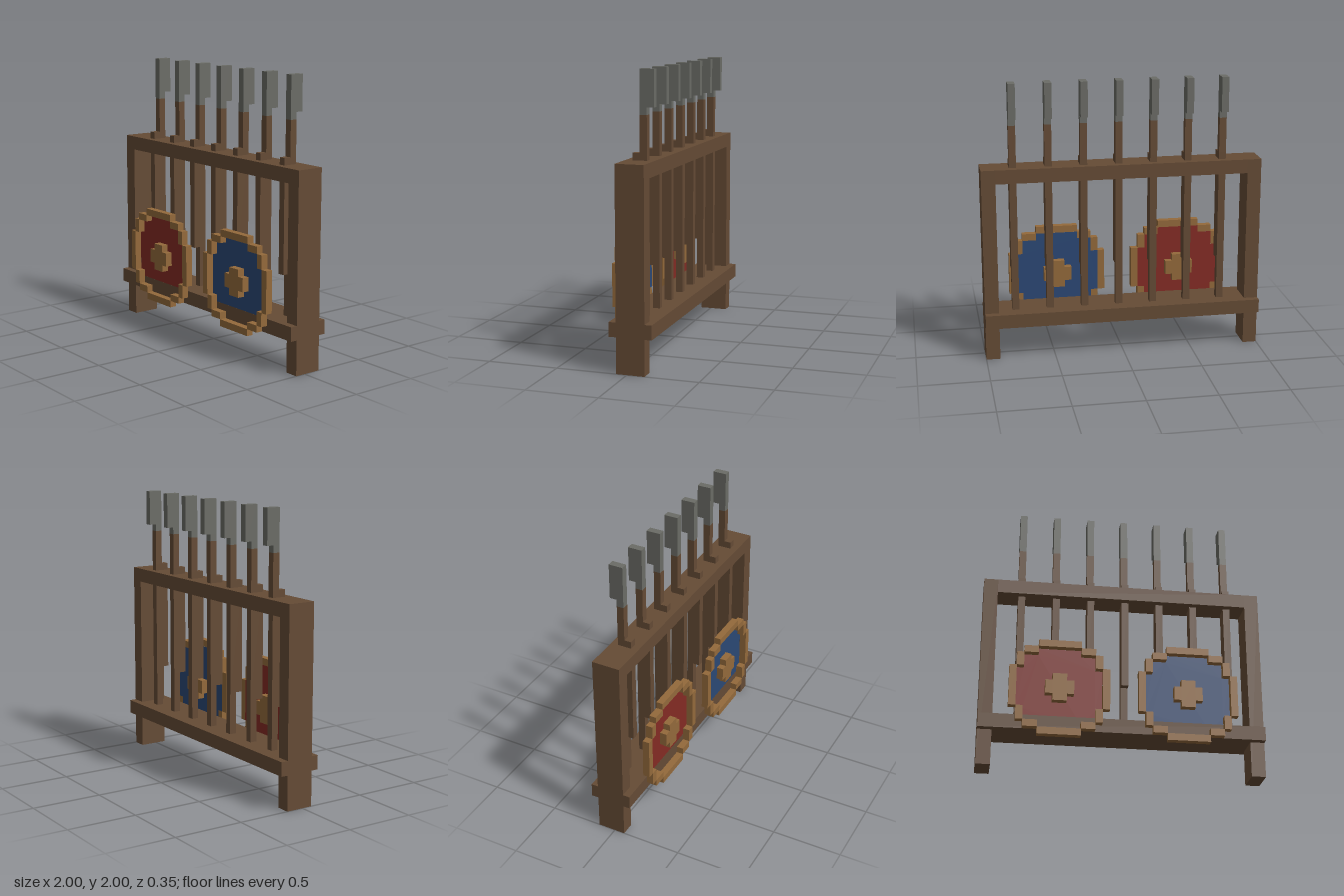
import * as THREE from 'three';

const mat = (name, color) => {
  const m = new THREE.MeshStandardMaterial({ color });
  m.name = name;
  return m;
};

export function createModel() {
  const wood = mat('dark wood', 0x654b35);
  const trim = mat('light wood', 0x946a3b);
  const steel = mat('grey steel', 0x6b6c66);
  const red = mat('red paint', 0x842b24);
  const blue = mat('blue paint', 0x2b4875);
  red.side = blue.side = THREE.DoubleSide;

  const root = new THREE.Group();
  root.name = 'weaponRack';

  // Box given by its min and max on each axis
  const box = (parent, name, material, [x0, x1], [y0, y1], [z0, z1]) => {
    const mesh = new THREE.Mesh(new THREE.BoxGeometry(x1 - x0, y1 - y0, z1 - z0), material);
    mesh.position.set((x0 + x1) / 2, (y0 + y1) / 2, (z0 + z1) / 2);
    mesh.name = name;
    parent.add(mesh);
  };
  const group = (name, x, y) => {
    const g = new THREE.Group();
    g.name = name;
    g.position.set(x, y, 0);
    root.add(g);
    return g;
  };

  // Frame: two posts, top rail and a wider shelf
  const depth = [-0.125, 0.075];
  box(root, 'rightPost', wood, [-1, -0.9], [0, 1.4], depth);
  box(root, 'leftPost', wood, [0.9, 1], [0, 1.4], depth);
  box(root, 'topRail', wood, [-0.9, 0.9], [1.3, 1.4], depth);
  box(root, 'shelf', wood, [-1, 1], [0.25, 0.35], [-0.175, 0.125]);

  // Row of seven pole weapons
  const w = [0, 0.05];
  const thin = [-0.075, -0.025];
  for (let i = 0; i < 7; i++) {
    const g = group('poleWeapon', -0.75 + i * 0.25, 0);
    box(g, 'lowerShaft', wood, w, [0.35, 0.65], thin);
    box(g, 'grip', wood, w, [0.65, 1.45], [-0.075, 0.025]);
    box(g, 'upperShaft', wood, w, [1.45, 1.7], thin);
    box(g, 'bladeNeck', steel, w, [1.7, 1.75], thin);
    box(g, 'blade', steel, w, [1.75, 2], [-0.125, -0.025]);
  }

  // Stepped round shield, centred on its boss
  const shield = (name, x, paint) => {
    const g = group(name, x, 0.55);
    const rimZ = [0.125, 0.175];
    const span = (s, a, b) => (s > 0 ? [a, b] : [-b, -a]);

    // Rim blocks, mirrored to all sides
    for (const s of [-1, 1]) {
      box(g, 'rimEnd', trim, [-0.15, 0.15], span(s, 0.3, 0.35), rimZ);
      box(g, 'rimSide', trim, span(s, 0.3, 0.35), [-0.15, 0.15], rimZ);
      for (const t of [-1, 1]) {
        box(g, 'rimCornerFlat', trim, span(s, 0.15, 0.25), span(t, 0.25, 0.3), rimZ);
        box(g, 'rimCornerUpright', trim, span(s, 0.25, 0.3), span(t, 0.15, 0.25), rimZ);
      }
    }

    // Painted face, a flat stepped outline
    const quarter = [[0.3, 0.15], [0.25, 0.15], [0.25, 0.25], [0.15, 0.25], [0.15, 0.3]];
    const flip = quarter.slice().reverse();
    const outline = [
      ...quarter,
      ...flip.map(([a, b]) => [-a, b]),
      ...quarter.map(([a, b]) => [-a, -b]),
      ...flip.map(([a, b]) => [a, -b]),
    ].map(([a, b]) => new THREE.Vector2(a, b));
    const face = new THREE.Mesh(new THREE.ShapeGeometry(new THREE.Shape(outline)), paint);
    face.position.z = 0.1245;
    face.name = 'paintedFace';
    g.add(face);

    // Cross-shaped boss passing through the face
    const bossZ = [0.075, 0.175];
    box(g, 'bossCentre', trim, [-0.05, 0.05], [-0.1, 0.1], bossZ);
    box(g, 'bossArm', trim, [-0.1, -0.05], [-0.05, 0.05], bossZ);
    box(g, 'bossArm', trim, [0.05, 0.1], [-0.05, 0.05], bossZ);
  };
  shield('redShield', -0.45, red);
  shield('blueShield', 0.45, blue);

  return root;
}
